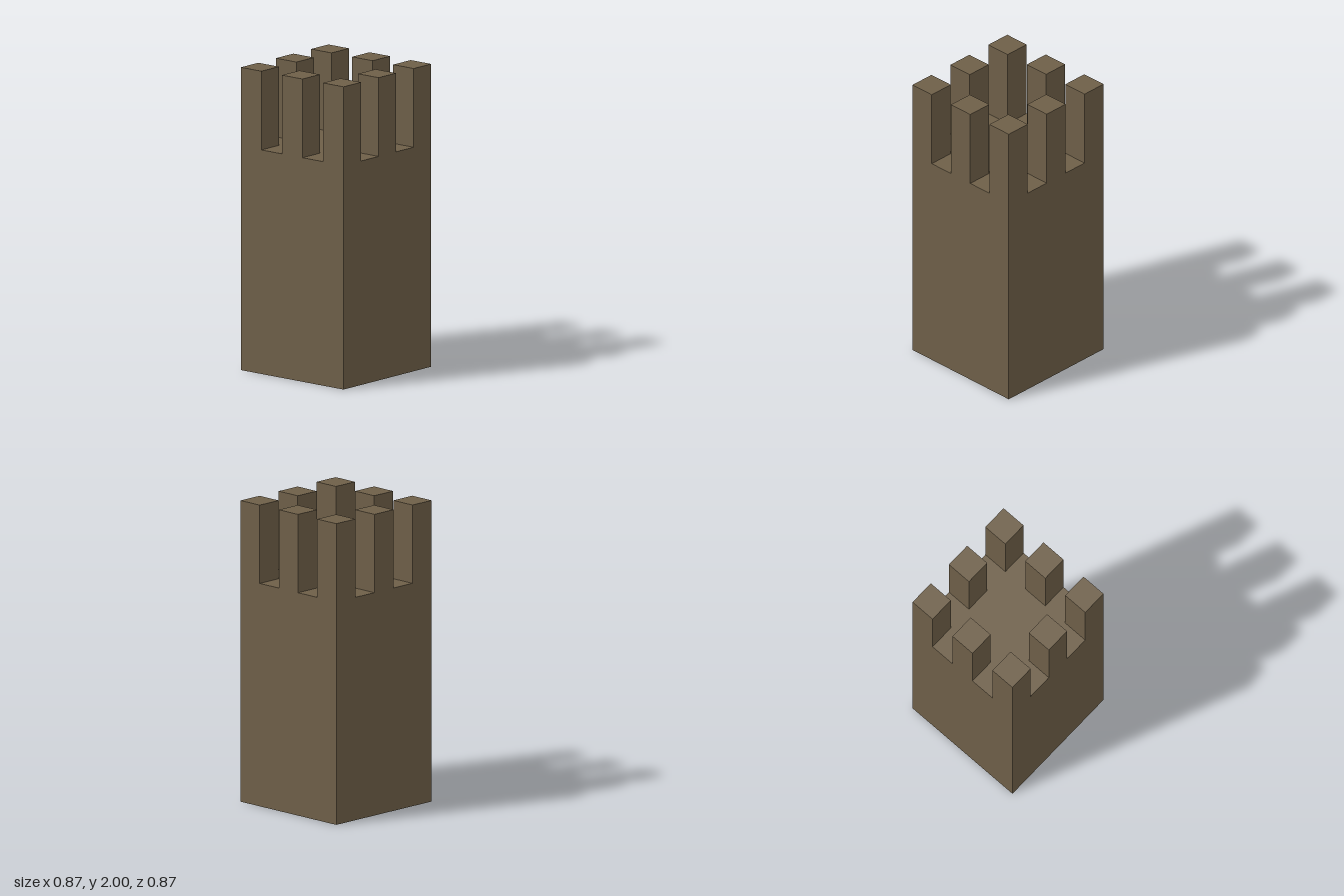
import * as THREE from 'three';

const WIDTH = 0.87;          // square plan
const HEIGHT = 2;
const FLOOR = 1.48;          // height of the roof deck
const CELL = WIDTH / 5;      // merlons and gaps share one width

export function createModel() {
  const group = new THREE.Group();
  group.name = 'tower';
  const stone = new THREE.MeshStandardMaterial({ color: 0x6e5f48, flatShading: true });

  // Solid shaft
  const shaft = new THREE.Mesh(new THREE.BoxGeometry(WIDTH, FLOOR, WIDTH), stone);
  shaft.name = 'shaft';
  shaft.position.y = FLOOR / 2;
  group.add(shaft);

  // Ring of eight merlons: corners and edge middles
  const merlons = new THREE.Group();
  merlons.name = 'battlements';
  const merlonGeometry = new THREE.BoxGeometry(CELL, HEIGHT - FLOOR, CELL);
  for (const i of [-1, 0, 1]) {
    for (const k of [-1, 0, 1]) {
      if (i === 0 && k === 0) continue;
      const merlon = new THREE.Mesh(merlonGeometry, stone);
      merlon.name = 'merlon';
      merlon.position.set(i * 2 * CELL, (HEIGHT + FLOOR) / 2, k * 2 * CELL);
      merlons.add(merlon);
    }
  }
  group.add(merlons);
  return group;
}
